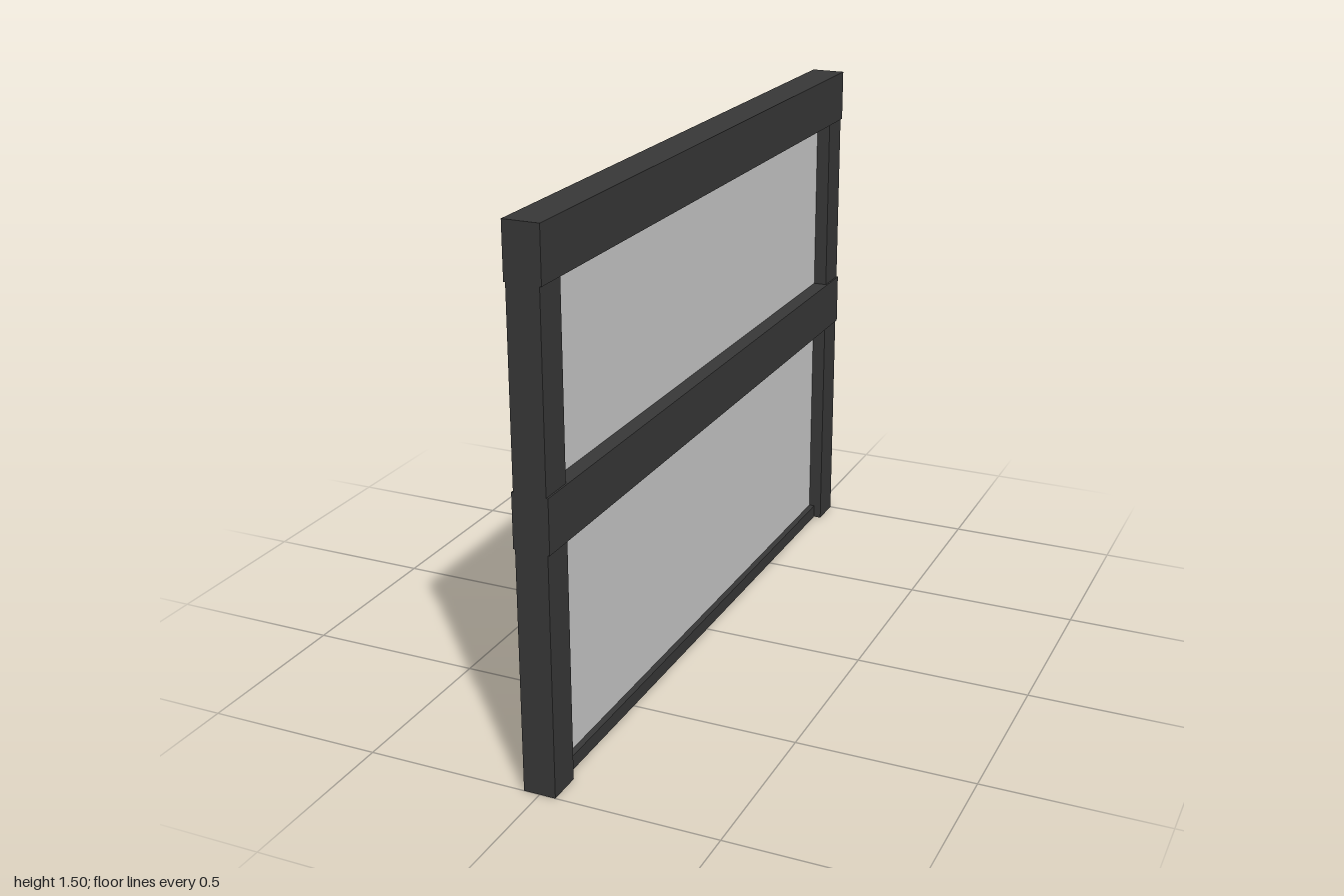
import * as THREE from 'three';

export function createModel() {
  const model = new THREE.Group();
  const frame = new THREE.MeshStandardMaterial({ color: 0x383838 });
  const pane = new THREE.MeshStandardMaterial({ color: 0xcccccc });

  // Box spanning y0..y1, centred on x = 0
  const bar = (name, depth, y0, y1, length, z = 0, material = frame) => {
    const mesh = new THREE.Mesh(new THREE.BoxGeometry(depth, y1 - y0, length), material);
    mesh.position.set(0, (y0 + y1) / 2, z);
    mesh.name = name;
    model.add(mesh);
  };

  // Horizontal rails, slightly prouder than the posts
  bar('topRail', 0.1, 1.35, 1.5, 2);
  bar('middleRail', 0.1, 0.675, 0.825, 2);

  // Thin sill between the posts
  bar('bottomRail', 0.045, 0, 0.04, 1.8);

  // End posts, split by the middle rail
  for (const [end, z] of [['front', 0.95], ['back', -0.95]]) {
    bar(end + 'LowerPost', 0.09, 0, 0.675, 0.1, z);
    bar(end + 'UpperPost', 0.09, 0.825, 1.35, 0.1, z);
  }

  // Panes
  bar('lowerPane', 0.01, 0.04, 0.675, 1.8, 0, pane);
  bar('upperPane', 0.01, 0.825, 1.35, 1.8, 0, pane);

  return model;
}
